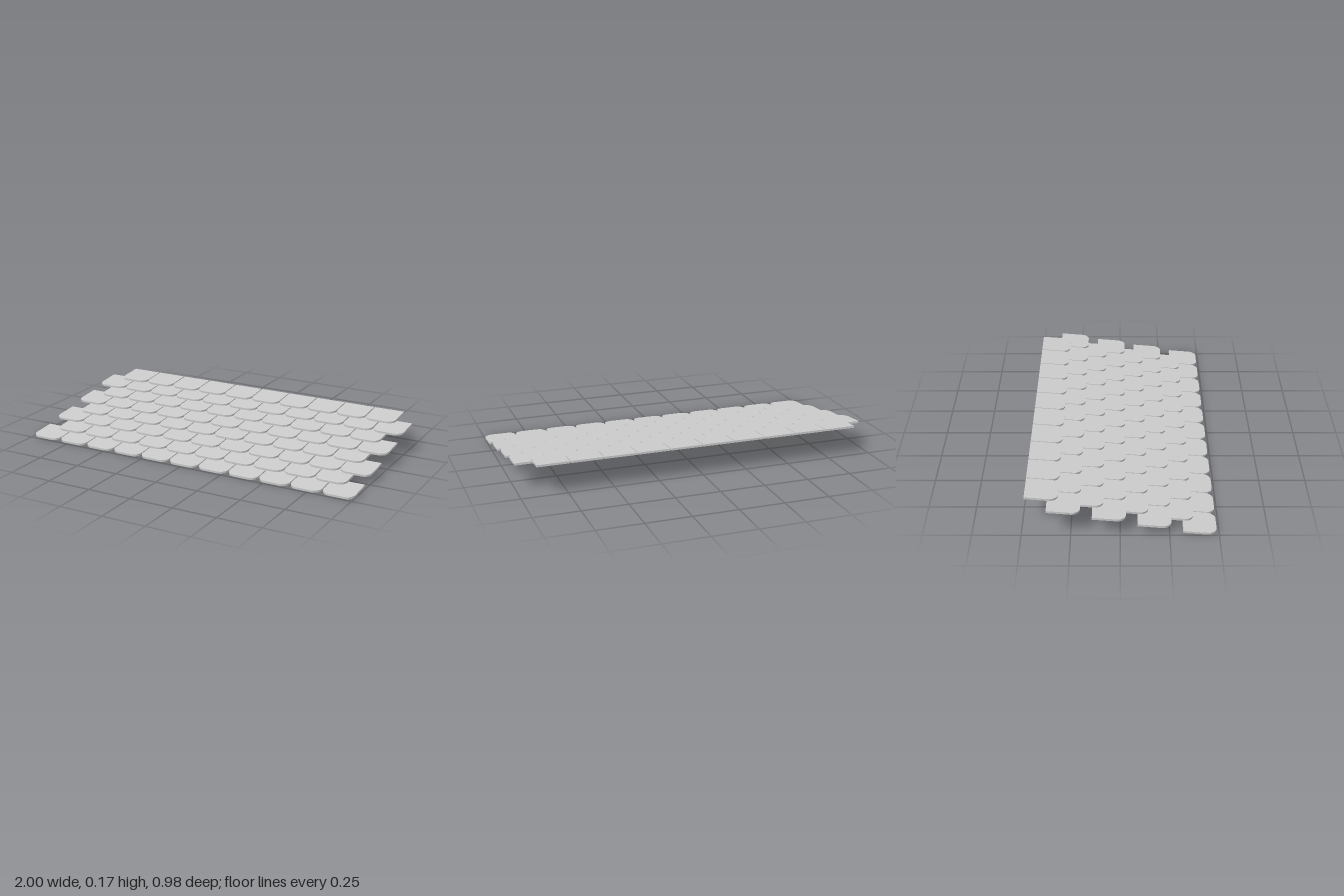
import * as THREE from 'three';

const ROWS = 8;
const WIDTH = 0.176, LENGTH = 0.171, THICK = 0.0115, RADIUS = 0.045;
const PITCH_X = 0.1824, PITCH_Y = 0.0204, PITCH_Z = 0.1151;
const TILT = 0.084;

// One shingle: square at the back, rounded corners at the front, origin at its lower front edge
function shingleGeometry() {
  const w = WIDTH / 2, r = RADIUS;
  const s = new THREE.Shape();
  s.moveTo(-w, LENGTH);
  s.lineTo(-w, r);
  s.absarc(-w + r, r, r, Math.PI, Math.PI * 1.5, false);
  s.lineTo(w - r, 0);
  s.absarc(w - r, r, r, Math.PI * 1.5, Math.PI * 2, false);
  s.lineTo(w, LENGTH);
  s.closePath();
  const g = new THREE.ExtrudeGeometry(s, { depth: THICK, bevelEnabled: false, curveSegments: 6 });
  g.rotateX(-Math.PI / 2 + TILT);
  return g;
}

export function createModel() {
  const model = new THREE.Group();
  model.name = 'shingleRoof';
  const material = new THREE.MeshStandardMaterial({ color: 0xcccccc });
  const geometry = shingleGeometry();

  // Overlapping courses climb to the back, every other one shifted by half a shingle
  for (let row = 0; row < ROWS; row++) {
    const course = new THREE.Group();
    course.name = `course${row + 1}`;
    course.position.set(0, row * PITCH_Y, 0.488 - row * PITCH_Z);
    const count = row % 2 === 0 ? 11 : 10;
    for (let i = 0; i < count; i++) {
      const shingle = new THREE.Mesh(geometry, material);
      shingle.name = 'shingle';
      shingle.position.x = (i - (count - 1) / 2) * PITCH_X;
      course.add(shingle);
    }
    model.add(course);
  }
  return model;
}
